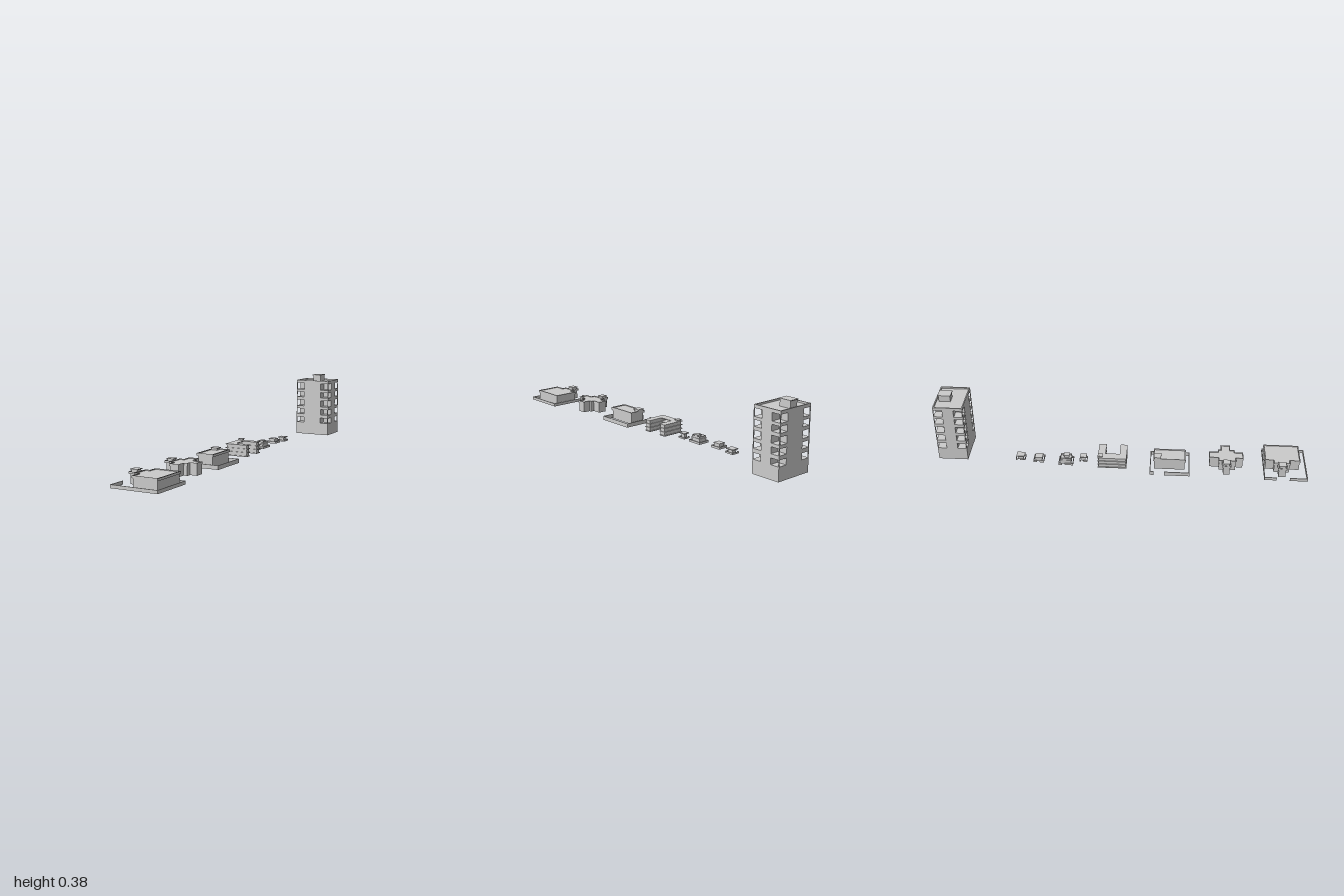
import * as THREE from 'three';

const grey = new THREE.MeshStandardMaterial({ color: 0xcccccc, flatShading: true, side: THREE.DoubleSide });
const oneSided = new THREE.MeshStandardMaterial({ color: 0xcccccc, flatShading: true });

function add(parent, name, geometry, material = grey) {
  const mesh = new THREE.Mesh(geometry, material);
  mesh.name = name;
  parent.add(mesh);
  return mesh;
}

// Box given by its limits
function box(parent, name, x0, x1, y0, y1, z0, z1) {
  add(parent, name, new THREE.BoxGeometry(x1 - x0, y1 - y0, z1 - z0))
    .position.set((x0 + x1) / 2, (y0 + y1) / 2, (z0 + z1) / 2);
}

const rect = (x0, x1, z0, z1) => [[x0, z0], [x0, z1], [x1, z1], [x1, z0]];

// Upright walls along an outline of [x, z] points
function walls(parent, name, pts, y0, y1, closed = true, material = grey) {
  const pos = [];
  for (let i = 0; i < pts.length - (closed ? 0 : 1); i++) {
    const [ax, az] = pts[i], [bx, bz] = pts[(i + 1) % pts.length];
    pos.push(ax, y0, az, bx, y0, bz, bx, y1, bz, ax, y0, az, bx, y1, bz, ax, y1, az);
  }
  const g = new THREE.BufferGeometry();
  g.setAttribute('position', new THREE.Float32BufferAttribute(pos, 3));
  g.computeVertexNormals();
  add(parent, name, g, material);
}

// Horizontal plate of an outline, with thickness when t > 0
function plate(parent, name, pts, y, t = 0) {
  const shape = new THREE.Shape(pts.map(([x, z]) => new THREE.Vector2(x, -z)));
  const g = t ? new THREE.ExtrudeGeometry(shape, { depth: t, bevelEnabled: false }) : new THREE.ShapeGeometry(shape);
  g.rotateX(-Math.PI / 2);
  add(parent, name, g).position.y = y;
}

// Moves an axis-aligned outline inwards by d
function inset(pts, d) {
  const n = pts.length;
  return pts.map(([x, z], i) => {
    const p = pts[(i + n - 1) % n], q = pts[(i + 1) % n];
    const dx = Math.sign(x - p[0]) + Math.sign(q[0] - x);
    const dz = Math.sign(z - p[1]) + Math.sign(q[1] - z);
    return [x + dz * d, z - dx * d];
  });
}

// Hollow, bottomless building with an overhanging roof band and sunken roof
function pavilion(parent, pts, y0, yBand, y1, d) {
  const body = inset(pts, d);
  walls(parent, 'walls', body, y0, yBand);
  plate(parent, 'eaves', pts, yBand);
  walls(parent, 'roofBand', pts, yBand, y1);
  walls(parent, 'parapetInside', body, y1 - 0.004, y1);
  plate(parent, 'roof', body, y1 - 0.004);
}

// Thin boundary wall with a gap in the -x side
function fence(parent, x0, x1, z0, z1, y0, y1, g0, g1, t = 0.004) {
  box(parent, 'fenceBack', x0, x1, y0, y1, z0, z0 + t);
  box(parent, 'fenceFront', x0, x1, y0, y1, z1 - t, z1);
  box(parent, 'fenceLeft', x1 - t, x1, y0, y1, z0, z1);
  box(parent, 'fenceRightBack', x0, x0 + t, y0, y1, z0, g0);
  box(parent, 'fenceRightFront', x0, x0 + t, y0, y1, g1, z1);
}

// Raised rooftop box with a thin cap
function rooftop(parent, x0, x1, z0, z1, y0, y1) {
  const o = 0.004;
  box(parent, 'rooftopRoom', x0 + o, x1 - o, y0, y1 - 0.004, z0 + o, z1 - o);
  box(parent, 'rooftopCap', x0, x1, y1 - 0.004, y1, z0, z1);
}

function tower() {
  const g = new THREE.Group();
  g.name = 'tower';
  const X0 = -0.07, X1 = 0.14, Z0 = -1, Z1 = -0.84, w = 0.05, p = 0.004;
  const a = X0 + w, b = X1 - w, c = Z0 + w, d = Z1 - w;
  const outline = rect(X0, X1, Z0, Z1);
  walls(g, 'groundFloor', outline, 0.013, 0.085);
  // Plus-shaped core leaves an open balcony at each corner
  walls(g, 'core', [[a, Z0], [a, c], [X0, c], [X0, d], [a, d], [a, Z1],
    [b, Z1], [b, d], [X1, d], [X1, c], [b, c], [b, Z0]], 0.085, 0.335);
  const bands = [[0.081, 0.085], [0.117, 0.137], [0.17, 0.187], [0.225, 0.243], [0.275, 0.29], [0.33, 0.338]];
  for (const [x0, x1, px] of [[X0, a, X0], [b, X1, X1 - p]]) {
    for (const [z0, z1, pz] of [[Z0, c, Z0], [d, Z1, Z1 - p]]) {
      for (const [y0, y1] of bands) box(g, 'balconyBand', x0, x1, y0, y1, z0, z1);
      box(g, 'cornerPost', px, px + p, 0.085, 0.335, pz, pz + p);
    }
  }
  // Roof with parapet and stair head
  const inner = inset(outline, 0.006);
  walls(g, 'parapet', outline, 0.33, 0.347);
  walls(g, 'parapetInside', inner, 0.338, 0.347);
  plate(g, 'roof', outline, 0.338);
  box(g, 'parapetBack', X0, X1, 0.338, 0.347, Z0, Z0 + 0.006);
  box(g, 'parapetFront', X0, X1, 0.338, 0.347, Z1 - 0.006, Z1);
  box(g, 'parapetRight', X0, X0 + 0.006, 0.338, 0.347, Z0, Z1);
  box(g, 'parapetLeft', X1 - 0.006, X1, 0.338, 0.347, Z0, Z1);
  rooftop(g, 0.002, 0.058, -0.985, -0.915, 0.338, 0.377);
  return g;
}

function hall() {
  const g = new THREE.Group();
  g.name = 'hall';
  pavilion(g, [[-0.07, 0.82], [-0.07, 0.91], [-0.045, 0.91], [-0.045, 0.965], [0.095, 0.965],
    [0.095, 0.775], [-0.045, 0.775], [-0.045, 0.82]], 0.008, 0.057, 0.069, 0.004);
  pavilion(g, rect(-0.115, -0.068, 0.84, 0.89), 0.008, 0.057, 0.068, 0.006);
  rooftop(g, -0.11, -0.07, 0.845, 0.885, 0.062, 0.08);
  fence(g, -0.14, 0.117, 0.77, 1, 0.008, 0.025, 0.835, 0.905);
  return g;
}

function crossHouse() {
  const g = new THREE.Group();
  g.name = 'crossHouse';
  pavilion(g, [[-0.07, 0.525], [-0.07, 0.62], [-0.045, 0.62], [-0.045, 0.66], [0.01, 0.66],
    [0.01, 0.615], [0.03, 0.615], [0.03, 0.59], [0.07, 0.59], [0.07, 0.54], [0.03, 0.54],
    [0.03, 0.525], [0.01, 0.525], [0.01, 0.475], [-0.045, 0.475], [-0.045, 0.525]], 0.01, 0.06, 0.072, 0.003);
  pavilion(g, rect(-0.115, -0.068, 0.545, 0.592), 0.01, 0.058, 0.07, 0.006);
  rooftop(g, -0.108, -0.07, 0.55, 0.587, 0.065, 0.08);
  return g;
}

function courtHouse() {
  const g = new THREE.Group();
  g.name = 'walledHouse';
  pavilion(g, rect(-0.08, 0.017, 0.175, 0.35), 0.005, 0.058, 0.071, 0.005);
  rooftop(g, -0.077, -0.035, 0.177, 0.217, 0.066, 0.08);
  fence(g, -0.125, 0.06, 0.157, 0.372, 0, 0.022, 0.18, 0.235);
  return g;
}

function terraceBlock() {
  const g = new THREE.Group();
  g.name = 'terraceBlock';
  const X0 = -0.09, X1 = 0.04, Z0 = -0.125, Z1 = 0.03, a = -0.045, c = -0.085, d = -0.008;
  const u = [[X0, Z0], [X0, Z1], [X1, Z1], [X1, d], [a, d], [a, c], [X1, c], [X1, Z0]];
  for (const y of [0.008, 0.028, 0.048, 0.068]) plate(g, 'floorSlab', u, y, 0.004);
  // Two wings joined by a single outer wall
  const o = 0.005;
  for (const [z0, z1] of [[Z0, c], [d, Z1]]) walls(g, 'wing', rect(X0 + o, X1 - o, z0 + o, z1 - o), 0.008, 0.07);
  walls(g, 'linkWall', [[X0 + o, c - o], [X0 + o, d + o]], 0.008, 0.07, false, oneSided);
  rooftop(g, -0.085, -0.055, -0.125, -0.1, 0.072, 0.081);
  return g;
}

// Small hut: cabin, overhanging roof and a low base or fence
function hut(x0, x1, z0, z1, y0, y1, fenced, step) {
  const g = new THREE.Group();
  g.name = 'hut';
  const i = 0.011, mid = y0 + 0.012;
  if (fenced) fence(g, x0, x1, z0, z1, y0, mid, z0 + 0.02, z0 + 0.035, 0.003);
  else fence(g, x0 + 0.002, x1, z0, z1, y0, y0 + 0.009, z0 + 0.01, z0 + 0.022, 0.003);
  walls(g, 'cabin', rect(x0 + i, x1 - i, z0 + i, z1 - i), y0, y1 - 0.006);
  const r = fenced ? i - 0.003 : 0.004;
  plate(g, 'hutRoof', rect(x0 + r, x1 - r, z0 + r, z1 - r), step ? 0.026 : y1 - 0.006, 0.005);
  if (step) rooftop(g, -0.048, -0.02, -0.315, -0.283, 0.03, y1);
  return g;
}

export function createModel() {
  const model = new THREE.Group();
  model.name = 'buildingRow';
  model.add(tower(), hall(), crossHouse(), courtHouse(), terraceBlock());
  model.add(hut(-0.047, -0.005, -0.23, -0.187, 0.008, 0.039, false, false));
  model.add(hut(-0.075, -0.008, -0.342, -0.262, 0.004, 0.048, true, true));
  model.add(hut(-0.068, -0.012, -0.48, -0.422, 0.01, 0.038, true, false));
  model.add(hut(-0.053, -0.005, -0.58, -0.527, 0.008, 0.034, false, false));
  return model;
}
